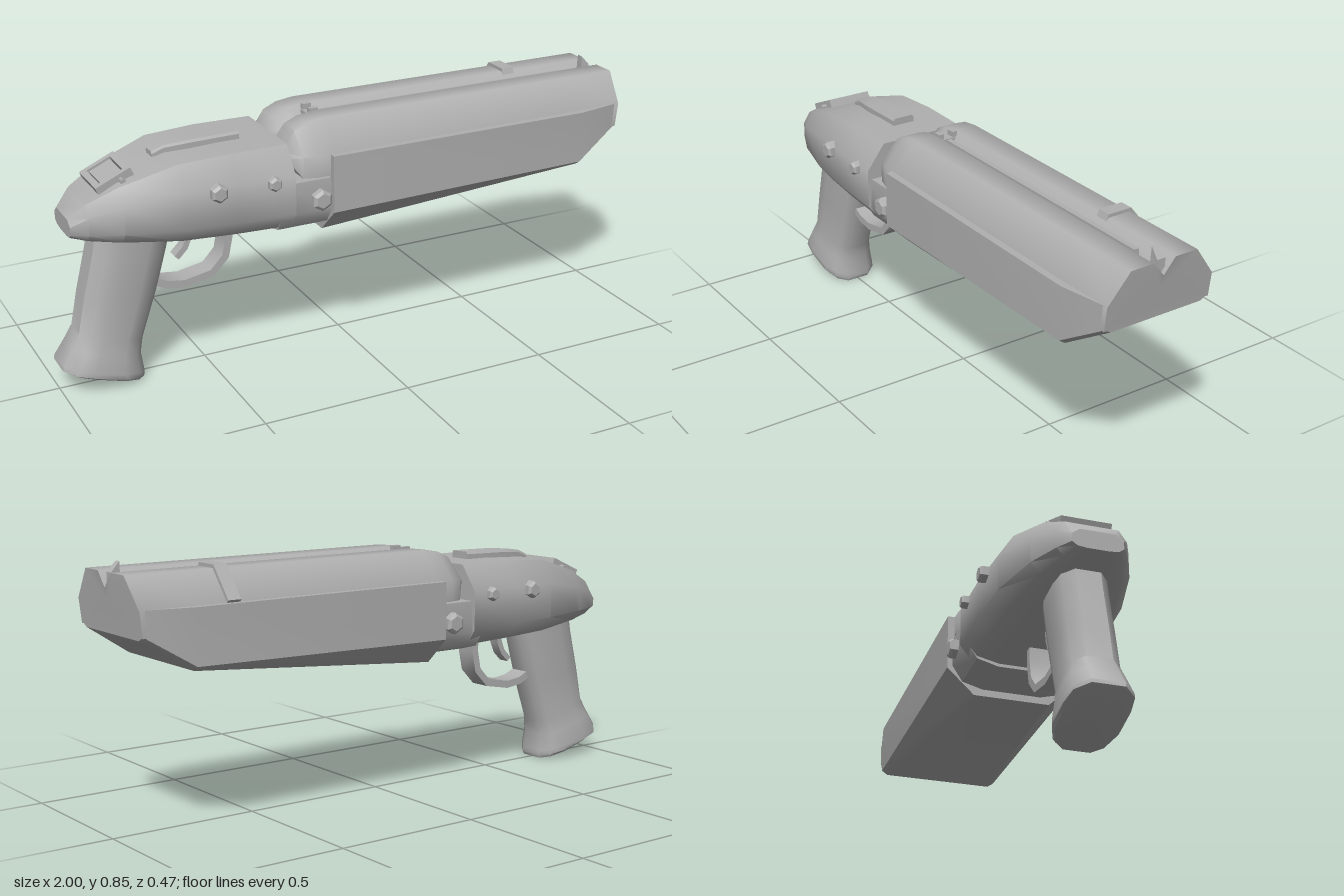
import * as THREE from 'three';
import { toCreasedNormals } from 'three/addons/utils/BufferGeometryUtils.js';

const steel = new THREE.MeshStandardMaterial({ color: 0xb0b0b0 });
steel.name = 'grey steel';

// Skin a closed body through equal-length rings of [x, y, z] points, with fan caps.
function loft(rings, crease = 0.7) {
  const n = rings[0].length, pos = rings.flat(2);
  const tris = [];
  for (let r = 0; r < rings.length - 1; r++)
    for (let i = 0; i < n; i++) {
      const j = (i + 1) % n, a = r * n, b = a + n;
      tris.push([a + i, a + j, b + j], [a + i, b + j, b + i]);
    }
  [0, rings.length - 1].forEach((r, end) => {
    const c = [0, 1, 2].map(k => rings[r].reduce((s, p) => s + p[k], 0) / n);
    const ci = pos.length / 3;
    pos.push(...c);
    for (let i = 0; i < n; i++) {
      const a = r * n + i, b = r * n + (i + 1) % n;
      tris.push(end ? [a, b, ci] : [b, a, ci]);
    }
  });
  // signed volume decides which way the corners must run
  const v = i => new THREE.Vector3().fromArray(pos, i * 3);
  const volume = tris.reduce((s, t) => s + v(t[0]).dot(v(t[1]).cross(v(t[2]))), 0);
  const g = new THREE.BufferGeometry();
  g.setAttribute('position', new THREE.Float32BufferAttribute(pos, 3));
  g.setIndex(tris.flatMap(t => (volume < 0 ? [t[0], t[2], t[1]] : t)));
  return toCreasedNormals(g, crease);
}

// Complete a half section of [x, y, z >= 0] points by mirroring it across z = 0.
function mirrorRing(half) {
  const other = half.filter(p => p[2] > 0).map(([x, y, z]) => [x, y, -z]).reverse();
  return [...half, ...other];
}

// Rectangular strip following a path in the side plane.
function strip(path, halfZ, thick) {
  return loft(path.map(([x, y], i) => {
    const a = path[Math.max(i - 1, 0)], b = path[Math.min(i + 1, path.length - 1)];
    const l = Math.hypot(b[0] - a[0], b[1] - a[1]);
    const nx = -(b[1] - a[1]) / l * thick / 2, ny = (b[0] - a[0]) / l * thick / 2;
    return [[x + nx, y + ny, -halfZ], [x + nx, y + ny, halfZ],
      [x - nx, y - ny, halfZ], [x - nx, y - ny, -halfZ]];
  }));
}

export function createModel() {
  const model = new THREE.Group();
  model.name = 'shotgun';
  const add = (name, geometry, x = 0, y = 0, z = 0, parent = model) => {
    const m = new THREE.Mesh(geometry, steel);
    m.name = name;
    m.position.set(x, y, z);
    parent.add(m);
    return m;
  };

  // Receiver: x, top, bottom, half width, half width of the flat top
  const receiver = [
    [-0.95, 0.6, 0.54, 0.08, 0.055], [-0.9, 0.65, 0.525, 0.11, 0.085],
    [-0.8, 0.7, 0.51, 0.155, 0.115], [-0.62, 0.755, 0.49, 0.2, 0.15],
    [-0.45, 0.763, 0.482, 0.212, 0.155], [-0.255, 0.763, 0.475, 0.215, 0.15],
  ].map(([x, t, b, w, tw]) => {
    const h = t - b;
    return mirrorRing([[x, t, tw], [x, t - h * 0.3, w], [x, b + h * 0.25, w],
      [x, b + h * 0.06, w * 0.8], [x, b, w * 0.45]]);
  });
  add('receiver', loft(receiver));

  // Hinge block between receiver and fore-end
  add('hingeBlock', loft([-0.3, -0.1].map(x => mirrorRing([
    [x, 0.645, 0.2], [x, 0.54, 0.205], [x, 0.485, 0.17], [x, 0.466, 0.1]]))));

  // Twin barrels with a groove between them
  const barrelRing = (x, g, t, s, b, zs, slant) => mirrorRing([
    [x, g, 0], [x, t, 0.04], [x, t, 0.12], [x - slant / 2, s, zs],
    [x - slant, b, zs], [x - slant, b, zs * 0.8]]);
  add('barrels', loft([
    barrelRing(-0.25, 0.70, 0.725, 0.71, 0.70, 0.15, 0),
    barrelRing(-0.215, 0.75, 0.79, 0.72, 0.65, 0.185, 0),
    barrelRing(-0.17, 0.77, 0.81, 0.72, 0.65, 0.198, 0),
    barrelRing(-0.11, 0.77, 0.818, 0.72, 0.65, 0.2, 0),
    barrelRing(0.8, 0.77, 0.818, 0.72, 0.64, 0.2, 0),
    barrelRing(1, 0.77, 0.818, 0.72, 0.64, 0.192, 0.018),
  ], 0.95));

  // Fore-end: tapering underneath and cut back at the muzzle
  const foreRing = (xt, xb, w, y1, z2, y2) => mirrorRing([
    [xt, 0.722, w], [xt + (xb - xt) * 0.8, y1, w], [xb, y2, z2]]);
  add('foreEnd', loft([
    foreRing(-0.125, -0.125, 0.222, 0.53, 0.13, 0.442),
    foreRing(0.82, 0.82, 0.222, 0.545, 0.2, 0.53),
    foreRing(0.988, 0.98, 0.19, 0.645, 0.165, 0.63),
  ], 0.75));

  // Grip: back x, back y, front x, front y, half width
  const grip = [
    [-0.86, 0.54, -0.61, 0.52, 0.08], [-0.875, 0.46, -0.63, 0.44, 0.08],
    [-0.91, 0.32, -0.67, 0.3, 0.08], [-0.935, 0.2, -0.725, 0.14, 0.08],
    [-0.96, 0.155, -0.735, 0.09, 0.09], [-0.995, 0.1, -0.728, 0.03, 0.1],
    [-0.998, 0.087, -0.727, 0.012, 0.1], [-0.99, 0.08, -0.73, 0.002, 0.092],
  ].map(([bx, by, fx, fy, w]) => mirrorRing(
    [[0, 0.5], [0.14, 0.9], [0.35, 1], [0.7, 1], [0.9, 0.8], [1, 0.45]].map(
      ([t, k]) => [bx + (fx - bx) * t, by + (fy - by) * t, w * k])));
  add('grip', loft(grip, 0.75));

  // Trigger guard and trigger
  add('triggerGuard', strip([[-0.415, 0.5], [-0.415, 0.43], [-0.428, 0.365], [-0.475, 0.315],
    [-0.57, 0.297], [-0.63, 0.305], [-0.68, 0.328]], 0.037, 0.026));
  add('trigger', strip([[-0.535, 0.5], [-0.545, 0.45], [-0.56, 0.415], [-0.59, 0.385]], 0.02, 0.02));

  // Hex bolts on both sides
  for (const side of [1, -1])
    for (const [x, y, r, z] of [[-0.515, 0.665, 0.03, 0.214], [-0.33, 0.665, 0.024, 0.218], [-0.165, 0.58, 0.036, 0.212]]) {
      const profile = [[0, -0.02], [r, -0.02], [r, 0.01], [r * 0.7, 0.018], [0, 0.018]];
      const head = new THREE.LatheGeometry(profile.map(p => new THREE.Vector2(...p)), 6);
      head.rotateX(side * Math.PI / 2);
      add('bolt', toCreasedNormals(head, 0.3), x, y, side * z);
    }

  // Opening lever on top of the receiver
  add('topLever', loft([[-0.66, 0.745, 0.762, 0.025], [-0.62, 0.75, 0.778, 0.03],
    [-0.54, 0.75, 0.785, 0.04], [-0.37, 0.75, 0.788, 0.04]].map(([x, b, t, w]) =>
    mirrorRing([[x, t, w * 0.85], [x, t - 0.008, w], [x, b, w]])), 0.3));

  // Safety catch: tilted frame with a raised pad and a cross pin
  const catchGroup = new THREE.Group();
  catchGroup.name = 'safetyCatch';
  catchGroup.position.set(-0.8, 0.706, 0);
  catchGroup.rotation.z = 0.42;
  model.add(catchGroup);
  for (const s of [1, -1]) {
    add('frameSide', new THREE.BoxGeometry(0.125, 0.03, 0.02), 0, 0, s * 0.07, catchGroup);
    add('frameEnd', new THREE.BoxGeometry(0.02, 0.03, 0.14), s * 0.052, 0, 0, catchGroup);
  }
  add('pad', new THREE.BoxGeometry(0.075, 0.02, 0.11), 0, 0, 0, catchGroup);
  const pin = new THREE.CylinderGeometry(0.01, 0.01, 0.2, 6).rotateX(Math.PI / 2);
  add('pin', pin, 0.02, -0.005, 0, catchGroup);

  // Band folded over the right barrel
  const band = [[-0.025, 0.79], [-0.04, 0.829], [-0.125, 0.829], [-0.207, 0.73],
    [-0.195, 0.715], [-0.12, 0.80], [-0.05, 0.80]];
  add('barrelBand', loft([0.657, 0.702].map(x => band.map(([z, y]) => [x, y, z])), 0.3));

  // Sighting rib, rear notch and front blade
  add('rib', new THREE.BoxGeometry(0.98, 0.04, 0.018), 0.39, 0.782, 0);
  for (const s of [1, -1])
    add('rearSight', new THREE.BoxGeometry(0.03, 0.04, 0.018), -0.105, 0.803, s * 0.026);
  add('rearSightBase', new THREE.BoxGeometry(0.04, 0.03, 0.05), -0.105, 0.79, 0);
  add('frontSight', loft([[0.955, 0.847, 0.011], [0.985, 0.815, 0.015]].map(([x, t, w]) =>
    mirrorRing([[x, t, w], [x, 0.77, 0.016]])), 0.3));

  return model;
}
